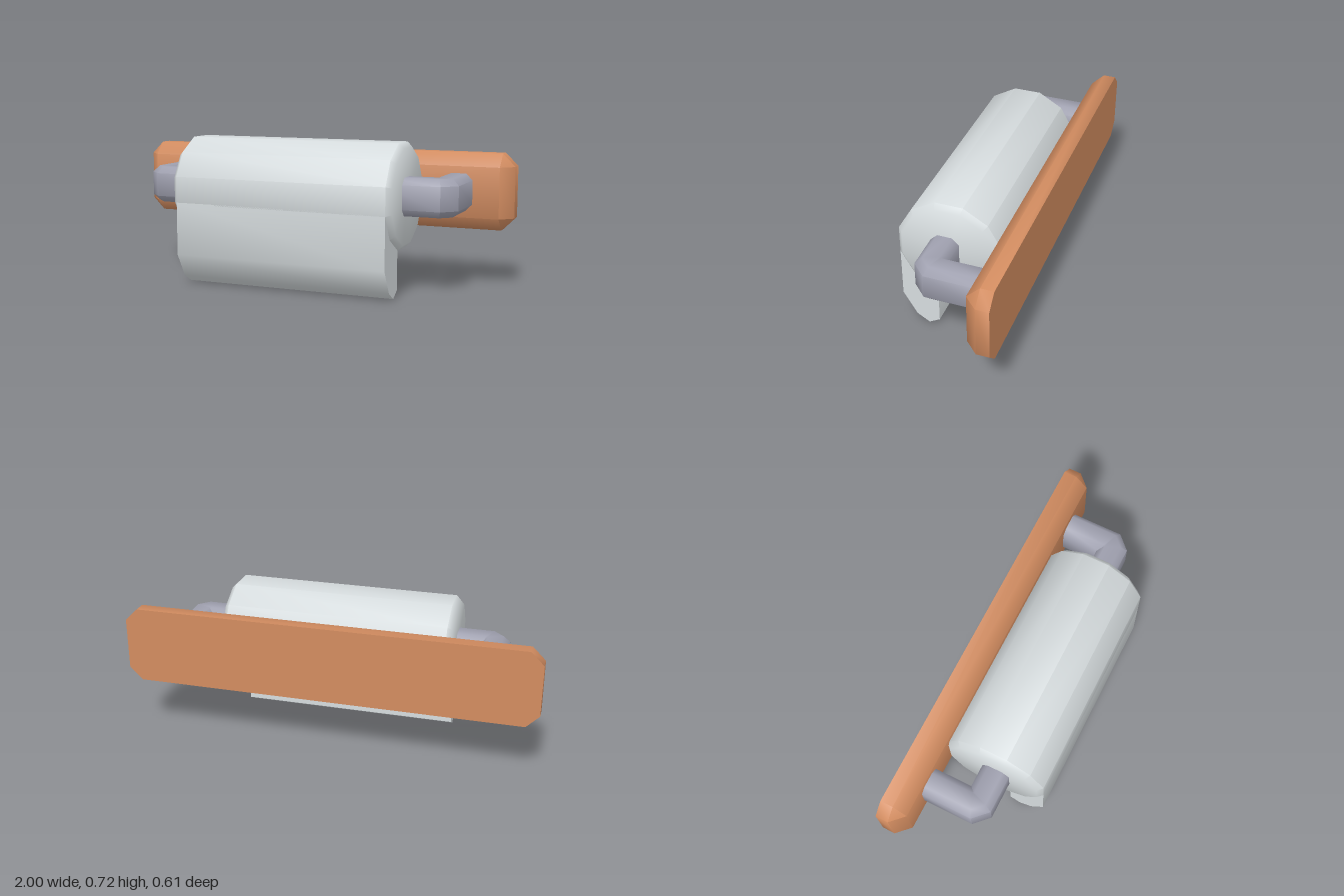
import * as THREE from 'three';
import { toCreasedNormals } from 'three/addons/utils/BufferGeometryUtils.js';

const CREASE = THREE.MathUtils.degToRad(50);
const material = (name, color) => {
  const m = new THREE.MeshStandardMaterial({ color });
  m.name = name;
  return m;
};

// Closed solid through rings of equal length, counter-clockwise about the direction of travel
function loft(rings) {
  const pos = [];
  const tri = (a, b, c) => {
    const area = b.clone().sub(a).cross(c.clone().sub(a)).length();
    if (area > 1e-8) pos.push(...a, ...b, ...c);
  };
  const n = rings[0].length;
  for (let r = 0; r < rings.length - 1; r++) {
    for (let i = 0; i < n; i++) {
      const j = (i + 1) % n;
      tri(rings[r][i], rings[r][j], rings[r + 1][j]);
      tri(rings[r][i], rings[r + 1][j], rings[r + 1][i]);
    }
  }
  const cap = (ring, flip) => {
    const mid = ring.reduce((s, p) => s.add(p), new THREE.Vector3()).divideScalar(n);
    ring.forEach((p, i) => {
      const q = ring[(i + 1) % n];
      if (flip) tri(mid, q, p); else tri(mid, p, q);
    });
  };
  cap(rings[0], true);
  cap(rings[rings.length - 1], false);
  const g = new THREE.BufferGeometry();
  g.setAttribute('position', new THREE.Float32BufferAttribute(pos, 3));
  return toCreasedNormals(g, CREASE);
}

// Rectangle with half sizes w, h and its corners cut by cw, ch
const cutRect = (w, h, cw, ch = cw) => [
  [w, -h + ch], [w, h - ch], [w - cw, h], [-w + cw, h],
  [-w, h - ch], [-w, -h + ch], [-w + cw, -h], [w - cw, -h],
];

export function createModel() {
  const wood = material('wood', 0xd28c60);
  const metal = material('metal', 0xa0a1b0);
  const paper = material('paper', 0xd6dcde);
  const model = new THREE.Group();
  model.name = 'rollHolder';
  const add = (name, geometry, mat) => {
    const mesh = new THREE.Mesh(geometry, mat);
    mesh.name = name;
    model.add(mesh);
    return mesh;
  };

  // Wall plate: cut corners, front edge bevelled down to a plain rectangle
  const bevel = 0.062, plateH = 0.186;
  const plateRing = (outline, z) => outline.map(([x, y]) => new THREE.Vector3(x, y + 0.471, z));
  const outer = cutRect(1, plateH, bevel);
  const face = outer.map(([x, y]) => [
    Math.sign(x) * (1 - bevel),
    Math.sign(y) * (plateH - bevel),
  ]);
  add('wallPlate', loft([
    plateRing(outer, -0.305), plateRing(outer, -0.243), plateRing(face, -0.18),
  ]), wood);

  // Paper roll: twelve sides with bevelled ends
  const rollRing = (x, apothem) => Array.from({ length: 12 }, (_, i) => {
    const a = (i + 0.5) * Math.PI / 6, r = apothem / Math.cos(Math.PI / 12);
    return new THREE.Vector3(x, 0.47 + r * Math.cos(a), 0.057 + r * Math.sin(a));
  });
  add('paperRoll', loft([
    rollRing(-0.56, 0.226), rollRing(-0.536, 0.25), rollRing(0.536, 0.25), rollRing(0.56, 0.226),
  ]), paper);

  // Hanging end of the paper, as [y, z] points
  const flap = [
    [0.45, 0.25], [0.41, 0.307], [0.152, 0.307], [0.037, 0.24],
    [0, 0.178], [0.031, 0.125], [0.3, 0.125],
  ];
  add('hangingPaper', loft([-0.536, 0.536].map((x) =>
    flap.map(([y, z]) => new THREE.Vector3(x, y, z)))), paper);

  // Arms: eight-sided bar from inside the roll, round a bevelled elbow, back to the plate
  const armX = 0.741, armZ = 0.072, cut = 0.028;
  const mitre = 1 / Math.cos(Math.PI / 8);
  const path = [
    [0.45, armZ, 0, 1],
    [armX - cut, armZ, Math.PI / 8, mitre],
    [armX, armZ - cut, 3 * Math.PI / 8, mitre],
    [armX, -0.2, Math.PI / 2, 1],
  ];
  const armGeometry = loft(path.map(([x, z, a, s]) =>
    cutRect(0.068, 0.09, 0.032).map(([u, v]) =>
      new THREE.Vector3(x - Math.sin(a) * u * s, v, z - Math.cos(a) * u * s))));
  for (const [name, turn] of [['leftArm', 0], ['rightArm', Math.PI]]) {
    const arm = add(name, armGeometry, metal);
    arm.position.y = 0.471;
    arm.rotation.z = turn;
  }

  return model;
}
